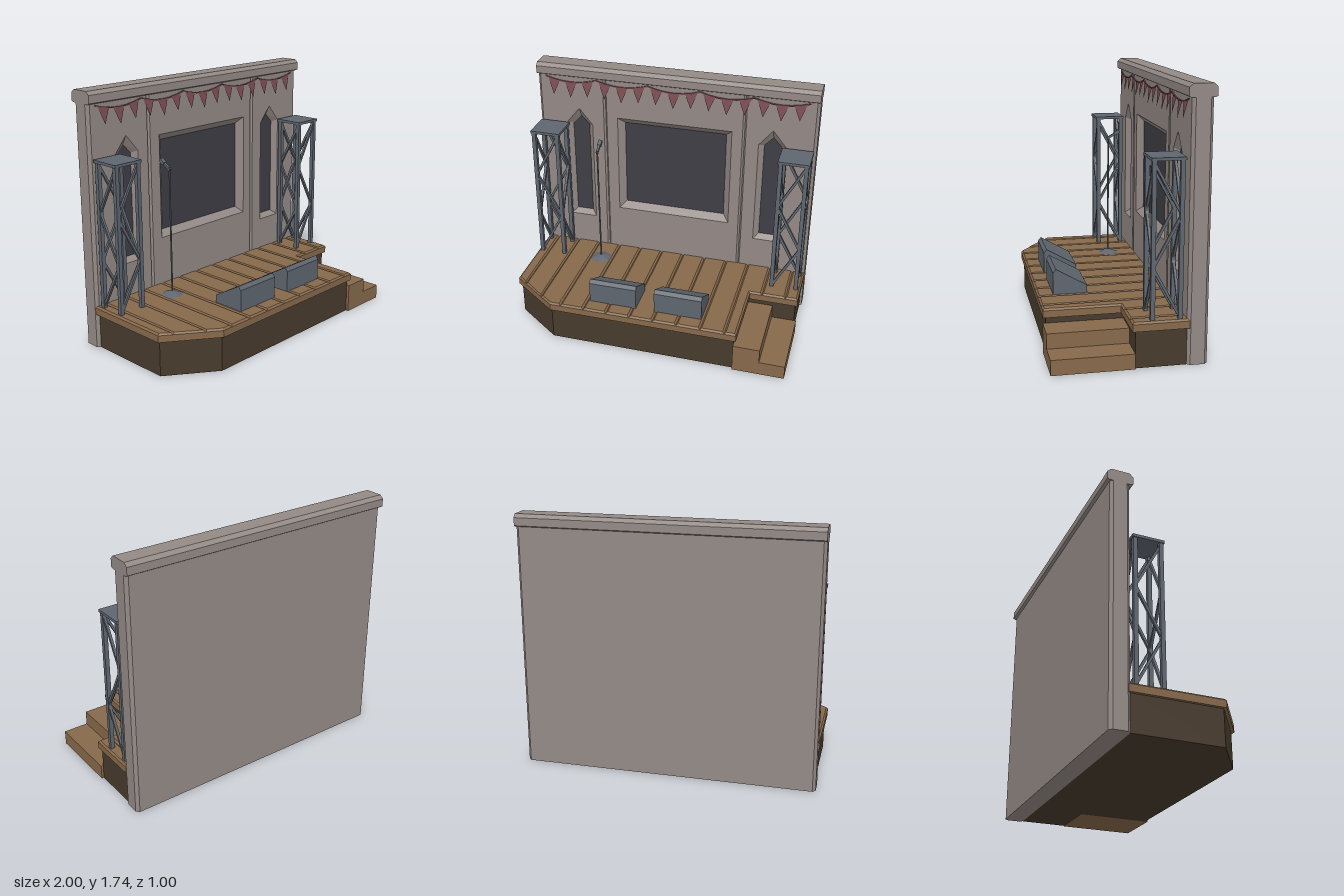
import * as THREE from 'three';

const mat = (name, color, side = THREE.FrontSide) => {
  const m = new THREE.MeshStandardMaterial({ color, side, flatShading: true });
  m.name = name;
  return m;
};

export function createModel() {
  const root = new THREE.Group();
  const stone = mat('stone', 0x948a86);
  const wood = mat('wood', 0x87694b);
  const darkWood = mat('dark wood', 0x483b2d);
  const metal = mat('metal', 0x5f666f);
  const dark = mat('dark panel', 0x3f3e45);
  const cloth = mat('cloth', 0x7a4c4f, THREE.DoubleSide);

  const add = (name, geo, material, parent = root) => {
    const m = new THREE.Mesh(geo, material);
    m.name = name;
    parent.add(m);
    return m;
  };
  const group = (name) => {
    const g = new THREE.Group();
    g.name = name;
    root.add(g);
    return g;
  };
  const toShape = (pts) => new THREE.Shape(pts.map(([x, y]) => new THREE.Vector2(x, y)));
  const box = (name, x0, x1, y0, y1, z0, z1, material, parent) => {
    const m = add(name, new THREE.BoxGeometry(x1 - x0, y1 - y0, z1 - z0), material, parent);
    m.position.set((x0 + x1) / 2, (y0 + y1) / 2, (z0 + z1) / 2);
  };
  // Plan outline [x, z] raised from y0 to y1, with optional bevelled rims
  const slab = (pts, y0, y1, bevel = 0) => new THREE.ExtrudeGeometry(
    toShape(pts.map(([x, z]) => [x, -z])), {
      depth: y1 - y0 - 2 * bevel, bevelEnabled: bevel > 0, bevelSegments: 1,
      bevelSize: bevel, bevelOffset: -bevel, bevelThickness: bevel,
    }).rotateX(-Math.PI / 2).translate(0, y0 + bevel, 0);
  // Side profile [z, y] stretched from x0 to x1
  const prism = (pts, x0, x1) => new THREE.ExtrudeGeometry(
    toShape(pts.map(([z, y]) => [-z, y])), { depth: x1 - x0, bevelEnabled: false })
    .rotateY(Math.PI / 2).translate(x0, 0, 0);
  const quads = (list) => {
    const pos = [];
    for (const [a, b, c, d] of list) pos.push(...a, ...b, ...c, ...a, ...c, ...d);
    const g = new THREE.BufferGeometry();
    g.setAttribute('position', new THREE.Float32BufferAttribute(pos, 3));
    g.computeVertexNormals();
    return g;
  };
  // Square bar between two points, in the parent's own space
  const UP = new THREE.Vector3(0, 1, 0);
  const bar = (name, a, b, t, material, parent) => {
    const p = new THREE.Vector3(...a), q = new THREE.Vector3(...b);
    const m = add(name, new THREE.BoxGeometry(t, t, p.distanceTo(q)), material, parent);
    m.quaternion.setFromRotationMatrix(new THREE.Matrix4().lookAt(q, p, UP));
    m.position.copy(p).add(q).multiplyScalar(0.5);
  };

  // Back wall: three front panels with recesses, grooves and chamfered corners
  const F = -0.347, TOP = 1.66;
  const wall = group('backWall');
  const lancet = (cx, w, y0, y1, y2) =>
    [[cx - w, y0], [cx + w, y0], [cx + w, y1], [cx, y2], [cx - w, y1]];
  const rect = (w, y0, y1) => [[-w, y0], [w, y0], [w, y1], [-w, y1]];
  const panel = (x0, x1, outer, inner, depth, label) => {
    const s = toShape([[x0, 0], [x1, 0], [x1, TOP], [x0, TOP]]);
    s.holes.push(toShape(outer));
    add('wallPanel', new THREE.ShapeGeometry(s).translate(0, 0, F), stone, wall);
    add(label + 'Frame', quads(outer.map((o, i) => {
      const j = (i + 1) % outer.length;
      return [[...o, F], [...outer[j], F], [...inner[j], F - depth], [...inner[i], F - depth]];
    })), stone, wall);
    add(label, new THREE.ShapeGeometry(toShape(inner)).translate(0, 0, F - depth), dark, wall);
  };
  panel(-0.493, 0.488, rect(0.414, 0.636, 1.37), rect(0.369, 0.68, 1.323), 0.045, 'screen');
  for (const [s, x0, x1] of [[-1, -0.98, -0.517], [1, 0.512, 0.98]]) {
    panel(x0, x1, lancet(s * 0.7, 0.097, 0.533, 1.294, 1.412),
      lancet(s * 0.7, 0.061, 0.567, 1.28, 1.345), 0.036, 'window');
  }
  const strip = (name, pts) => add(name, quads(pts.slice(1).map(([x, z], i) => {
    const [u, w] = pts[i];
    return [[u, 0, w], [x, 0, z], [x, TOP, z], [u, TOP, w]];
  })), stone, wall);
  strip('leftGroove', [[0.488, F], [0.5, F - 0.015], [0.512, F]]);
  strip('rightGroove', [[-0.517, F], [-0.505, F - 0.015], [-0.493, F]]);
  const rim = [[0.98, F], [1, F - 0.02], [1, -0.459], [0.98, -0.479],
    [-0.98, -0.479], [-1, -0.459], [-1, F - 0.02], [-0.98, F]];
  strip('wallSides', rim);
  add('wallBottom', new THREE.ShapeGeometry(toShape(rim)).rotateX(Math.PI / 2), stone, wall);
  add('wallCap', prism([[-0.325, 1.66], [-0.325, 1.712], [-0.35, 1.735], [-0.474, 1.735],
    [-0.499, 1.712], [-0.499, 1.66], [-0.485, 1.652], [-0.339, 1.652]], -1, 1), stone, wall);

  // Stage base and deck
  add('stageBase', slab([[-0.98, -0.347], [-0.98, 0.25], [-0.66, 0.48], [0.642, 0.48],
    [0.642, -0.024], [0.985, -0.024], [0.985, -0.347]], 0, 0.25), darkWood);
  const NOTCH = 0.66, NZ = -0.003, BACK = -0.362, CUT = -0.665;
  add('deckSlab', slab([[-1, BACK], [-1, 0.26], [CUT, 0.5], [NOTCH, 0.5],
    [NOTCH, NZ], [1, NZ], [1, BACK]], 0.241, 0.288), wood);

  // Planks follow the deck outline
  const planks = group('deckPlanks');
  const frontZ = (x) => x < CUT ? 0.26 + 0.24 * (x + 1) / (CUT + 1) : x <= NOTCH ? 0.5 : NZ;
  const cuts = [-1];
  for (let i = 0; i < 12; i++) cuts.push(-0.922 + i * 0.1667);
  cuts.push(1);
  for (let i = 0; i < cuts.length - 1; i++) {
    const a = cuts[i], b = cuts[i + 1];
    const pts = [[a, BACK], [a, frontZ(a)]];
    if (a < CUT && b > CUT) pts.push([CUT, 0.5]);
    if (a < NOTCH && b > NOTCH) pts.push([NOTCH, 0.5], [NOTCH, NZ]);
    pts.push([b, frontZ(b)], [b, BACK]);
    add('plank', slab(pts, 0.266, 0.3, 0.012), wood, planks);
  }

  // Side steps
  box('upperStep', 0.642, 0.825, 0, 0.2, -0.022, 0.5, wood);
  box('lowerStep', 0.825, 1, 0, 0.1, -0.022, 0.5, wood);

  // Truss towers
  for (const s of [-1, 1]) {
    const t = group('trussTower');
    t.position.set(s * 0.88, 0, -0.218);
    const h = 0.087, y0 = 0.295, y1 = 1.285, n = 3;
    box('towerTop', -0.107, 0.107, 1.285, 1.304, -0.107, 0.107, metal, t);
    for (const x of [-h, h]) for (const z of [-h, h]) {
      box('towerPost', x - 0.014, x + 0.014, y0, y1, z - 0.014, z + 0.014, metal, t);
    }
    // Zigzag braces: alike on the two sides, opposed on front and back
    for (let i = 0; i < n; i++) {
      const a = y0 + 0.01 + (y1 - y0 - 0.02) * i / n;
      const b = y0 + 0.01 + (y1 - y0 - 0.02) * (i + 1) / n;
      const d = i % 2 ? -h : h;
      for (const e of [-h, h]) {
        bar('sideBrace', [e, a, -d], [e, b, d], 0.017, metal, t);
        const k = e > 0 ? d : -d;
        bar('crossBrace', [-k, a, e], [k, b, e], 0.017, metal, t);
      }
    }
  }

  // Microphone stand
  const stand = group('microphoneStand');
  stand.position.set(-0.505, 0, -0.15);
  add('standBase', new THREE.CylinderGeometry(0.015, 0.083, 0.025, 6), metal, stand).position.y = 0.311;
  add('standPole', new THREE.CylinderGeometry(0.006, 0.006, 0.88, 6), metal, stand).position.y = 0.755;
  bar('microphoneHandle', [0, 1.178, 0.008], [0, 1.214, -0.05], 0.016, metal, stand);
  bar('microphoneHead', [0, 1.212, -0.046], [0, 1.234, -0.082], 0.025, metal, stand);

  // Floor monitors
  for (const x of [-0.402, 0.063]) {
    add('floorMonitor', prism([[0.398, 0.295], [0.398, 0.447], [0.378, 0.472],
      [0.17, 0.353], [0.17, 0.295]], x, x + 0.335), metal);
  }

  // Bunting: five swags with three pennants each, tips leaning forward
  const bunting = group('bunting');
  const X0 = -0.94, SPAN = 0.375, Z = -0.342;
  const cordY = (x) => {
    const t = (((x - X0) / SPAN) % 1 + 1) % 1;
    return 1.639 - 0.032 * 4 * t * (1 - t);
  };
  for (let i = 0; i < 30; i++) {
    const a = X0 + i * SPAN / 6, b = a + SPAN / 6;
    bar('cord', [a, cordY(a), Z], [b, cordY(b), Z], 0.008, cloth, bunting);
  }
  for (let i = 0; i < 15; i++) {
    const x = X0 + (i + 0.5) * SPAN / 3, y = cordY(x);
    const p = add('pennant', new THREE.ShapeGeometry(toShape([
      [-0.044, cordY(x - 0.044) - y], [0, -0.11], [0.044, cordY(x + 0.044) - y]])), cloth, bunting);
    p.position.set(x, y, Z);
    p.rotation.x = -0.15;
  }
  return root;
}
